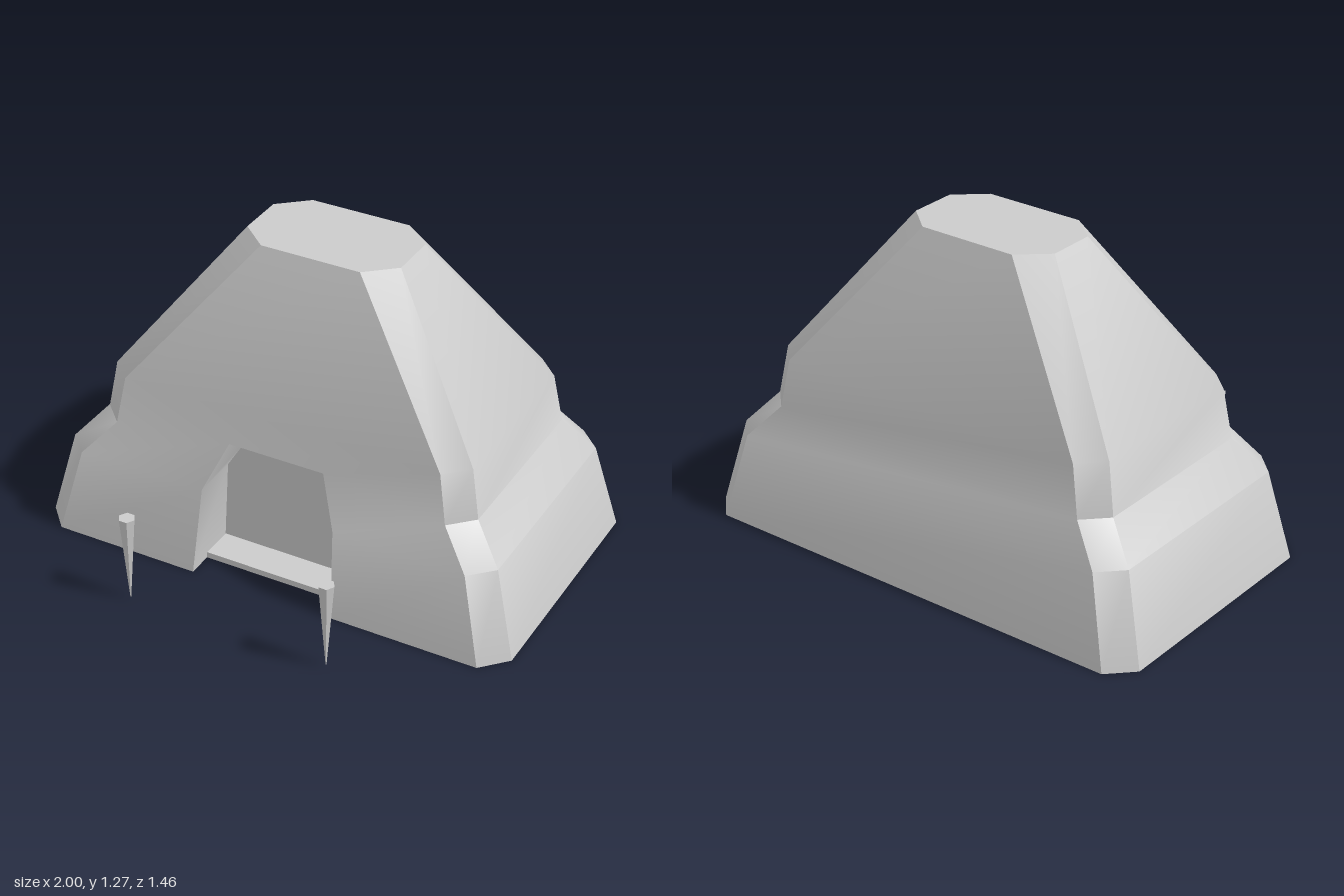
import * as THREE from 'three';
import { toCreasedNormals } from 'three/addons/utils/BufferGeometryUtils.js';

// Chamfered levels: y, half width, chamfer x, front z, chamfer z, back chamfer z, back z
const LEVELS = [
  [0, 1, 0.905, 0.445, 0.345, -0.635, -0.73],
  [0.355, 0.91, 0.82, 0.395, 0.305, -0.585, -0.675],
  [0.49, 0.79, 0.70, 0.32, 0.23, -0.515, -0.605],
  [0.69, 0.755, 0.665, 0.30, 0.215, -0.495, -0.585],
  [1.27, 0.32, 0.205, 0.055, -0.045, -0.24, -0.34],
];

// Doorway outline on the wall and at the back of the recess (+x half)
const OUTER = [[0.3, 0, 0.445], [0.28, 0.36, 0.395], [0.2, 0.55, 0.32]];
const INNER = [[0.3, 0, 0.2], [0.28, 0.36, 0.2], [0.2, 0.49, 0.2]];
const STEP_FRONT = 0.34;

const flip = ([x, y, z]) => [-x, y, z];

function ring([y, x, cx, zf, czf, czb, zb]) {
  const half = [[cx, y, zf], [x, y, czf], [x, y, czb], [cx, y, zb]];
  return [...half, ...half.map(flip).reverse()];
}

// Collects convex polygons as triangles
function polygonBuilder() {
  const positions = [];
  const face = (...p) => {
    for (let i = 1; i < p.length - 1; i++) positions.push(...p[0], ...p[i], ...p[i + 1]);
  };
  const mirrored = (...p) => {
    face(...p);
    face(...p.map(flip).reverse());
  };
  const build = () => {
    const g = new THREE.BufferGeometry();
    g.setAttribute('position', new THREE.Float32BufferAttribute(positions, 3));
    return toCreasedNormals(g, 0.59);
  };
  return { face, mirrored, build };
}

function wallsGeometry() {
  const { face, mirrored, build } = polygonBuilder();
  const rings = LEVELS.map(ring);

  // Side, back and corner walls; the front joins the loop above the doorway
  for (let l = 0; l < rings.length - 1; l++) {
    const a = rings[l], b = rings[l + 1];
    for (let i = 0; i < (l === 3 ? 8 : 7); i++) {
      const j = (i + 1) % 8;
      face(a[i], a[j], b[j], b[i]);
    }
  }
  face(...rings[4]); // flat roof

  // Front wall around the doorway
  const c = rings.map((r) => r[0]);
  mirrored(OUTER[0], c[0], c[1], OUTER[1]);
  mirrored(OUTER[1], c[1], c[2], OUTER[2]);
  mirrored(OUTER[2], c[2], c[3]);
  face(flip(OUTER[2]), OUTER[2], c[3], flip(c[3]));
  return build();
}

function doorwayGeometry() {
  const { face, mirrored, build } = polygonBuilder();
  for (let i = 0; i < 2; i++) {
    mirrored(INNER[i], OUTER[i], OUTER[i + 1], INNER[i + 1]); // jambs
    face(flip(INNER[i]), INNER[i], INNER[i + 1], flip(INNER[i + 1])); // back panel
  }
  face(flip(INNER[2]), INNER[2], OUTER[2], flip(OUTER[2])); // sloping ceiling
  return build();
}

// Underside with the notch of the doorway
function undersideGeometry() {
  const points = ring(LEVELS[0]).map(([x, , z]) => new THREE.Vector2(x, z));
  points.push(
    new THREE.Vector2(-0.3, 0.445), new THREE.Vector2(-0.3, STEP_FRONT),
    new THREE.Vector2(0.3, STEP_FRONT), new THREE.Vector2(0.3, 0.445),
  );
  return new THREE.ShapeGeometry(new THREE.Shape(points)).rotateX(Math.PI / 2);
}

export function createModel() {
  const group = new THREE.Group();
  group.name = 'building';
  const material = new THREE.MeshStandardMaterial({ color: 0xcccccc });
  const flat = new THREE.MeshStandardMaterial({ color: 0xcccccc, flatShading: true });

  const add = (name, geometry, mat = material) => {
    const mesh = new THREE.Mesh(geometry, mat);
    mesh.name = name;
    group.add(mesh);
    return mesh;
  };

  add('walls', wallsGeometry());
  add('doorway', doorwayGeometry());
  add('underside', undersideGeometry());

  // Low door step
  const depth = STEP_FRONT - INNER[0][2];
  add('doorStep', new THREE.BoxGeometry(0.6, 0.025, depth))
    .position.set(0, 0.0125, STEP_FRONT - depth / 2);

  // Six-sided torch stakes in front of the door
  const stake = new THREE.CylinderGeometry(0.033, 0.002, 0.365, 6).rotateY(Math.PI / 6);
  for (const side of [-1, 1]) {
    add(side > 0 ? 'leftTorch' : 'rightTorch', stake, flat)
      .position.set(side * 0.42, 0.1925, 0.70);
  }
  return group;
}
